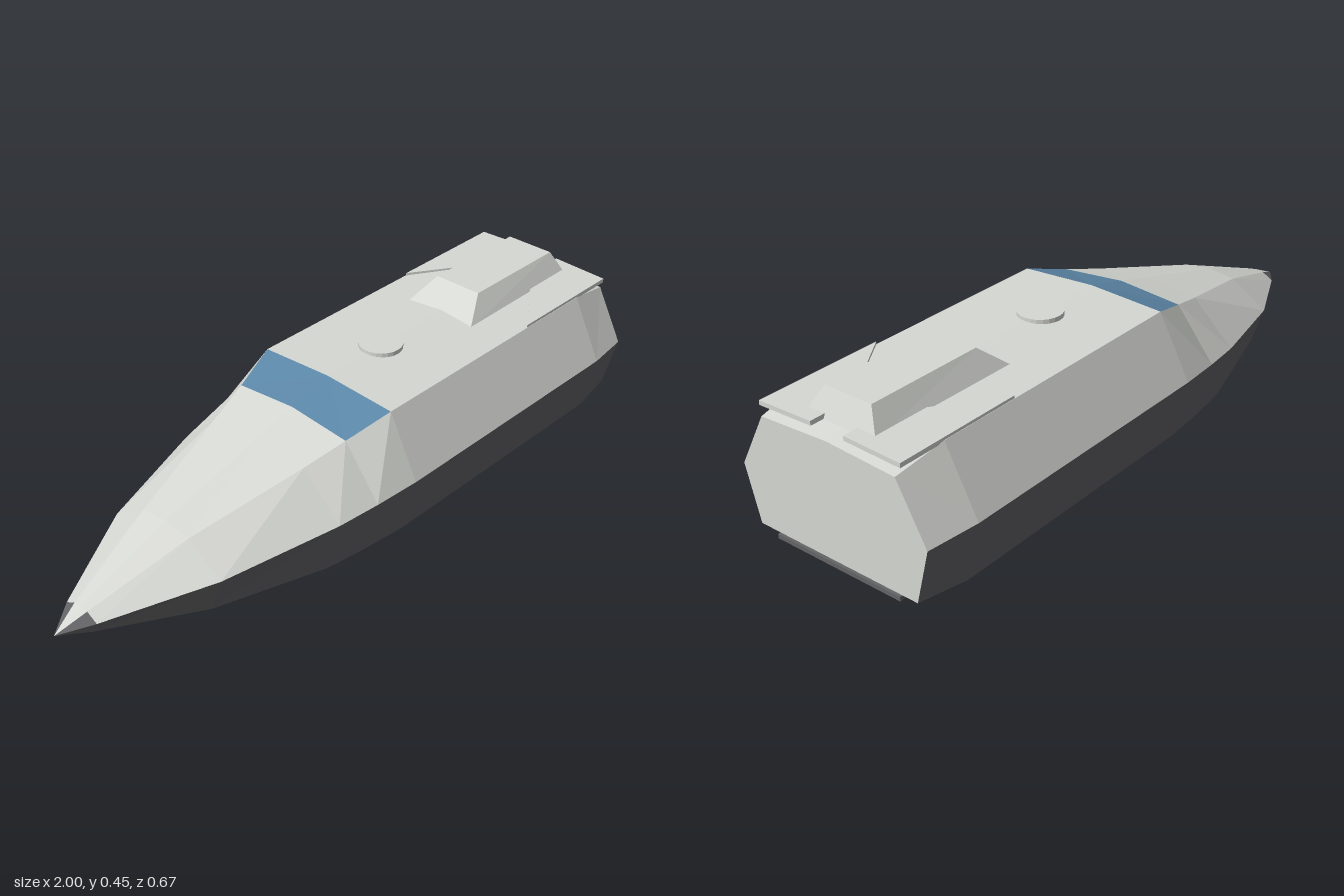
import * as THREE from 'three';

const mat = (name, color) => {
  const m = new THREE.MeshStandardMaterial({ color, flatShading: true });
  m.name = name;
  return m;
};

// Flat-shaded mesh from a list of triangles' corners
function facets(name, corners, material) {
  const g = new THREE.BufferGeometry();
  g.setAttribute('position', new THREE.Float32BufferAttribute(corners.flat(), 3));
  g.computeVertexNormals();
  const mesh = new THREE.Mesh(g, material);
  mesh.name = name;
  return mesh;
}

// Hull stations: x, keel z, keel y, chine z, chine y, deck edge z, deck edge y, ridge y
const stations = [
  [-1, 0, 0.08, 0, 0.08, 0, 0.08, 0.08],
  [-0.91, 0.04, 0.06, 0.06, 0.098, 0.025, 0.118, 0.122],
  [-0.62, 0.165, 0.025, 0.205, 0.14, 0.088, 0.216, 0.227],
  [-0.28, 0.26, 0.011, 0.3, 0.175, 0.17, 0.3, 0.317],
  [-0.15, 0.277, 0.01, 0.319, 0.183, 0.2, 0.335, 0.353],
  [-0.01, 0.29, 0.01, 0.333, 0.19, 0.236, 0.377, 0.39],
  [0.85, 0.29, 0.01, 0.333, 0.19, 0.236, 0.377, 0.39],
  [1, 0.27, 0.022, 0.312, 0.185, 0.223, 0.348, 0.36],
];

// Half section from keel centre up to deck ridge, on side s
const section = ([x, kz, ky, cz, cy, ez, ey, ry], s) =>
  [[x, ky, 0], [x, ky, s * kz], [x, cy, s * cz], [x, ey, s * ez], [x, ry, 0]];

// Box-like solid from a lower and an upper ring of corners, counter-clockwise from above
function prism(name, lower, upper, material) {
  const out = [], n = lower.length;
  for (let i = 0; i < n; i++) {
    const j = (i + 1) % n;
    out.push(lower[i], lower[j], upper[j], lower[i], upper[j], upper[i]);
    if (i > 0 && i < n - 1) {
      out.push(upper[0], upper[i], upper[i + 1], lower[0], lower[i + 1], lower[i]);
    }
  }
  return facets(name, out, material);
}

export function createModel() {
  const model = new THREE.Group();
  model.name = 'boat';
  const light = mat('light grey', 0xd6d8d3);
  const dark = mat('dark grey', 0x646467);
  const blue = mat('window blue', 0x5c87a8);

  // Hull skin, gathered by part
  const skin = { lowerHull: [], noseTip: [], upperSides: [], deck: [], windscreen: [], transom: [] };
  for (const s of [1, -1]) {
    const rings = stations.map((st) => section(st, s));
    const tri = (part, a, b, c) => skin[part].push(...(s > 0 ? [a, b, c] : [a, c, b]));
    for (let i = 0; i < rings.length - 1; i++) {
      for (let j = 0; j < 4; j++) {
        const part = j < 2 ? 'lowerHull'
          : j === 2 ? (i === 0 ? 'noseTip' : 'upperSides')
          : i === 4 ? 'windscreen' : 'deck';
        const a = rings[i][j], b = rings[i + 1][j], c = rings[i + 1][j + 1], d = rings[i][j + 1];
        tri(part, a, b, c);
        if (i > 0) tri(part, a, c, d);
      }
    }
    const end = rings[rings.length - 1];
    for (let j = 0; j < 4; j++) tri('transom', [1, 0.19, 0], end[j + 1], end[j]);
  }
  const colours = { lowerHull: dark, noseTip: dark, windscreen: blue };
  for (const part in skin) model.add(facets(part, skin[part], colours[part] || light));

  // Tapered cabin on the aft deck
  const ring = (x0, x1, z0, z1, y) => [[x0, y, z0], [x1, y, z1], [x1, y, -z1], [x0, y, -z0]];
  model.add(prism('cabin', ring(0.475, 0.952, 0.122, 0.118, 0.378), ring(0.56, 0.92, 0.078, 0.078, 0.449), light));

  // Round hatch
  const hatch = new THREE.Mesh(new THREE.CylinderGeometry(0.065, 0.065, 0.022, 24), light);
  hatch.name = 'hatch';
  hatch.position.set(0.215, 0.389, 0);
  model.add(hatch);

  // Upper stern flaps
  for (const s of [1, -1]) {
    const outline = [[0.6, 0.235], [0.993, 0.235], [0.993, 0.055], [0.86, 0.055]];
    if (s < 0) outline.reverse();
    const at = (y) => outline.map(([x, z]) => [x, y - (z - 0.055) * 0.033, s * z]);
    model.add(prism(s > 0 ? 'leftFlap' : 'rightFlap', at(0.378), at(0.391), light));
  }

  // Sloping flap under the stern
  const flap = (y0, y1) => [[0.86, y0, 0.212], [1, y1, 0.212], [1, y1, -0.212], [0.86, y0, -0.212]];
  model.add(prism('lowerFlap', flap(0.01, 0), flap(0.024, 0.013), dark));

  return model;
}
